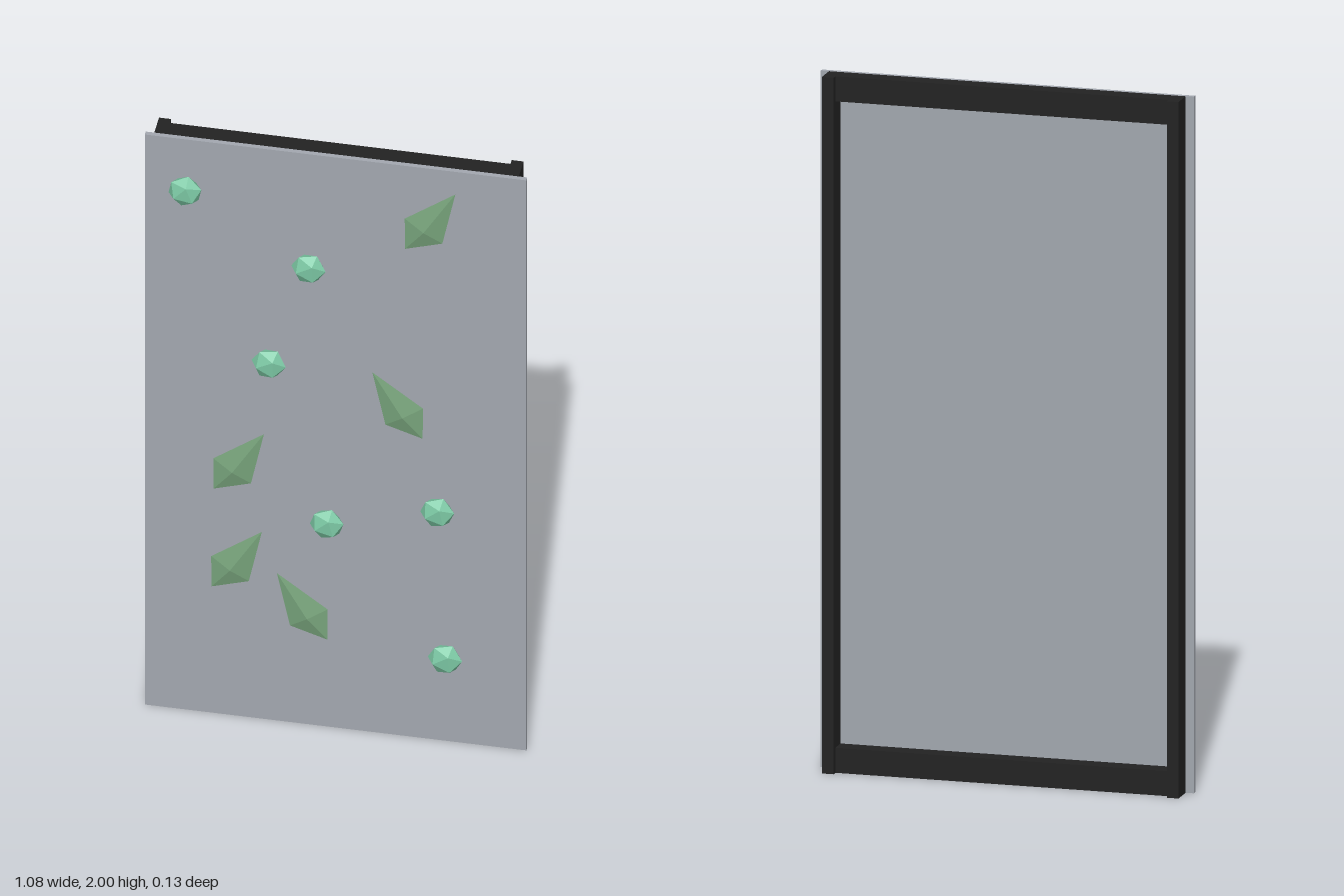
import * as THREE from 'three';

const material = (name, color, extra = {}) => {
  const m = new THREE.MeshStandardMaterial({ color, ...extra });
  m.name = name;
  return m;
};

// Four-sided crystal: a kite outline pinched to a shallow peak front and back
function shardGeometry(mirror) {
  const rim = [[0, 0], [-0.144, -0.106], [-0.143, -0.212], [-0.037, -0.178]]
    .map(([x, y]) => new THREE.Vector3(x * mirror, y, 0));
  if (mirror < 0) rim.reverse();
  const front = new THREE.Vector3(-0.088 * mirror, -0.138, 0.015);
  const back = front.clone().setZ(-0.015);
  const points = [];
  rim.forEach((p, i) => {
    const next = rim[(i + 1) % 4];
    points.push(p, next, front, next, p, back);
  });
  const geometry = new THREE.BufferGeometry().setFromPoints(points);
  geometry.computeVertexNormals();
  return geometry;
}

// Flattened icosahedron with a triangular facet towards the front
function gemGeometry(roll) {
  const geometry = new THREE.IcosahedronGeometry(0.051, 0);
  const turn = new THREE.Quaternion().setFromUnitVectors(
    new THREE.Vector3(1, 1, 1).normalize(), new THREE.Vector3(0, 0, 1));
  geometry.applyQuaternion(turn);
  geometry.rotateX(0.12);
  geometry.rotateZ(roll);
  geometry.scale(1, 1, 0.57);
  geometry.computeVertexNormals();
  return geometry;
}

export function createModel() {
  const model = new THREE.Group();
  model.name = 'climbingWall';
  const panelGrey = material('panel grey', 0xa2a7af);
  const frameBlack = material('frame black', 0x222222);
  const gemGreen = material('gem green', 0x7cc8a4, { flatShading: true });
  const shardGreen = material('shard green', 0x77a37b, { flatShading: true });

  const add = (name, geometry, mat, x, y, z) => {
    const mesh = new THREE.Mesh(geometry, mat);
    mesh.name = name;
    mesh.position.set(x, y, z);
    model.add(mesh);
  };

  // Wall panel
  add('panel', new THREE.BoxGeometry(1.084, 2, 0.014), panelGrey, 0, 1, 0.007);

  // Supporting frame behind the panel
  for (const [side, name] of [[1, 'leftPost'], [-1, 'rightPost']]) {
    add(name, new THREE.BoxGeometry(0.034, 2, 0.07), frameBlack, side * 0.501, 1, -0.035);
  }
  for (const [y, name] of [[0.036, 'bottomRail'], [1.964, 'topRail']]) {
    add(name, new THREE.BoxGeometry(0.968, 0.072, 0.052), frameBlack, 0, y, -0.026);
  }

  // Round holds: x, y, roll
  const gems = [
    [-0.423, 1.838, 0.2], [-0.072, 1.618, -0.1], [-0.185, 1.268, -0.14],
    [0.294, 0.817, 0.05], [-0.02, 0.73, 0.1], [0.316, 0.306, -0.05],
  ];
  gems.forEach(([x, y, roll], i) =>
    add(`gemHold${i + 1}`, gemGeometry(roll), gemGreen, x, y, 0.039));

  // Pointed holds: tip x, tip y, mirror
  const shards = [
    [0.344, 1.934, 1], [0.108, 1.275, -1], [-0.2, 1.012, 1],
    [-0.206, 0.668, 1], [-0.163, 0.53, -1],
  ];
  shards.forEach(([x, y, mirror], i) =>
    add(`shardHold${i + 1}`, shardGeometry(mirror), shardGreen, x, y, 0.031));

  return model;
}
